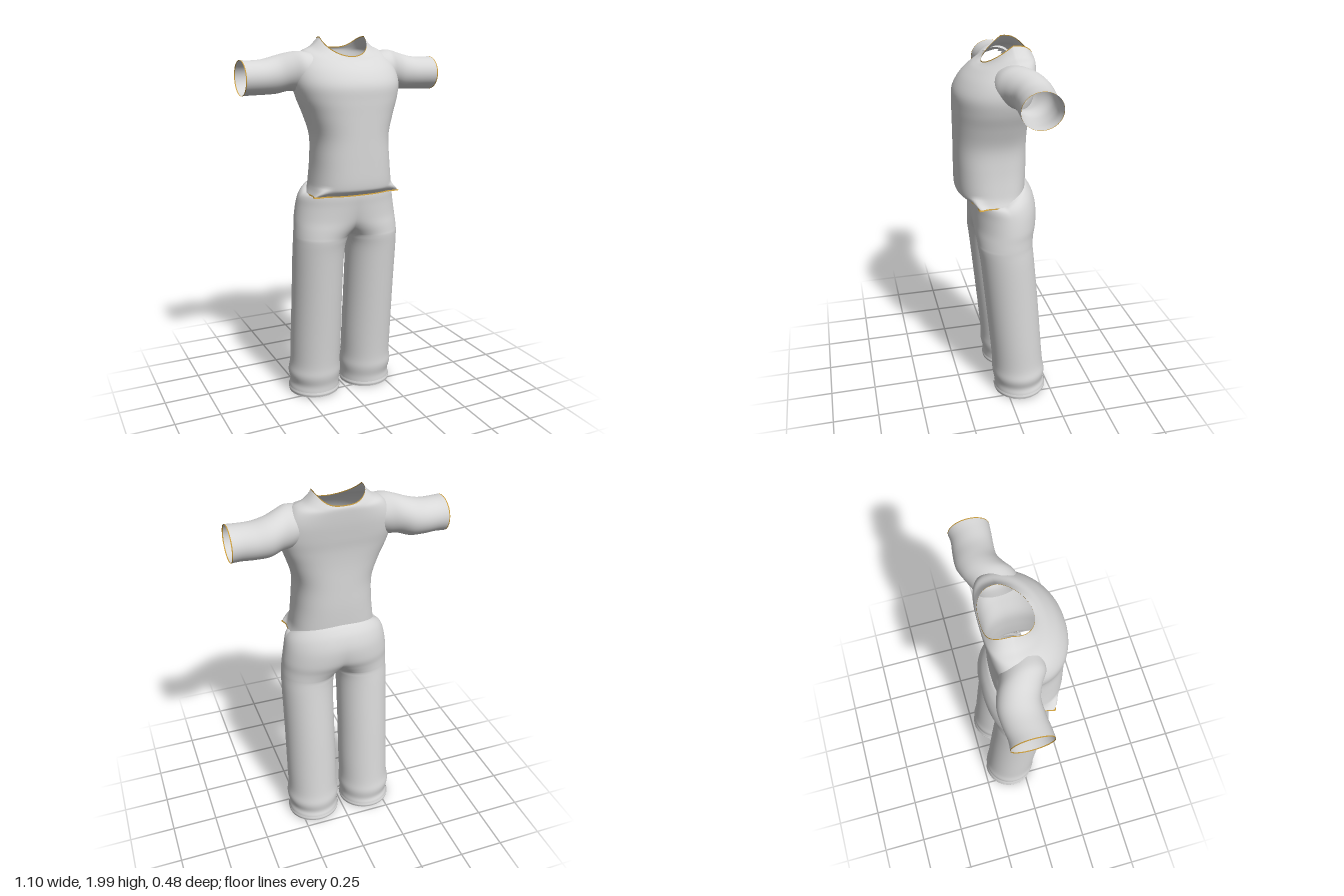
import * as THREE from 'three';
import { mergeGeometries, mergeVertices } from 'three/addons/utils/BufferGeometryUtils.js';

// Smoothly subdivide a short table of cross-section rows
function refine(rows, steps) {
  const out = [];
  for (let i = 0; i < rows.length - 1; i++) {
    const p = rows[Math.max(i - 1, 0)], a = rows[i], b = rows[i + 1], q = rows[Math.min(i + 2, rows.length - 1)];
    for (let s = 0; s < steps; s++) {
      const t = s / steps, t2 = t * t, t3 = t2 * t;
      out.push(a.map((v, k) =>
        v * (2 * t3 - 3 * t2 + 1) + b[k] * (3 * t2 - 2 * t3) +
        (b[k] - p[k]) / 2 * (t3 - 2 * t2 + t) + (q[k] - v) / 2 * (t3 - t2)));
    }
  }
  out.push(rows[rows.length - 1]);
  return out;
}

// Skin a surface over rows; point(row, u) gives a position, skip() leaves openings
function loft(rows, cols, point, flip = false, skip = () => false) {
  const pos = [], index = [], pts = [];
  for (const row of rows) {
    for (let j = 0; j <= cols; j++) {
      const p = point(row, j / cols);
      pts.push(p);
      pos.push(...p);
    }
  }
  for (let i = 0; i < rows.length - 1; i++) {
    for (let j = 0; j < cols; j++) {
      const a = i * (cols + 1) + j, b = a + 1, c = a + cols + 1, d = c + 1;
      if (skip(pts[a]) && skip(pts[b]) && skip(pts[c]) && skip(pts[d])) continue;
      if (flip) index.push(a, b, c, b, d, c);
      else index.push(a, c, b, b, c, d);
    }
  }
  const g = new THREE.BufferGeometry();
  g.setAttribute('position', new THREE.Float32BufferAttribute(pos, 3));
  g.setIndex(index);
  return g;
}

function smooth(geometries) {
  const g = mergeVertices(mergeGeometries(geometries), 1e-4);
  g.computeVertexNormals();
  return g;
}

const spow = (v, e) => Math.sign(v) * Math.pow(Math.abs(v), e);

export function createModel() {
  const cloth = new THREE.MeshStandardMaterial({ color: 0xd8d8d8, side: THREE.DoubleSide });
  cloth.name = 'light grey cloth';
  const gold = new THREE.MeshStandardMaterial({ color: 0xc89b3c, side: THREE.DoubleSide });
  gold.name = 'gold edging';
  const model = new THREE.Group();
  model.name = 'outfit';
  const add = (name, geometry, material = cloth) => {
    const m = new THREE.Mesh(geometry, material);
    m.name = name;
    model.add(m);
  };

  // Shirt body: half width, side y, side z, front z, front y, back z, back y, front and back squareness
  const body = refine([
    [0.236, 1.203, 0.04, 0.185, 1.203, -0.11, 1.203, 2.5, 2.5],
    [0.226, 1.23, 0.04, 0.225, 1.225, -0.12, 1.23, 2.5, 2.5],
    [0.219, 1.27, 0.04, 0.238, 1.26, -0.125, 1.27, 2.5, 2.5],
    [0.207, 1.38, 0.04, 0.24, 1.38, -0.13, 1.38, 2.5, 2.5],
    [0.205, 1.50, 0.03, 0.24, 1.50, -0.13, 1.50, 2.4, 2.5],
    [0.237, 1.61, 0.02, 0.24, 1.61, -0.13, 1.61, 2.3, 2.7],
    [0.270, 1.70, 0.01, 0.24, 1.69, -0.135, 1.70, 2.2, 3],
    [0.285, 1.78, 0, 0.236, 1.765, -0.145, 1.77, 2.1, 3.2],
    [0.270, 1.86, -0.02, 0.20, 1.83, -0.155, 1.845, 2, 3.2],
    [0.225, 1.925, -0.045, 0.15, 1.875, -0.16, 1.905, 2, 3],
    [0.170, 1.952, -0.045, 0.115, 1.893, -0.16, 1.93, 2, 3],
    [0.128, 1.995, -0.04, 0.09, 1.90, -0.155, 1.94, 2, 3],
  ], 5);
  const bodyPoint = ([rx, ys, zs, zf, yf, zb, yb, nf, nb], u) => {
    const a = (u % 1) * Math.PI * 2, c = Math.cos(a), s = Math.sin(a), e = 2 / (s > 0 ? nf : nb);
    let x = rx * spow(c, e);
    const y = ys + (s > 0 ? (yf - ys) * s : (yb - ys) * s * s);
    let z = zs + (s > 0 ? zf - zs : zs - zb) * spow(s, e);
    // pointed flaps at the front corners of the hem
    if (s > 0 && y < 1.25) {
      const corner = (Math.abs(c) - 0.82) / 0.1;
      const f = Math.exp(-corner * corner) * (1.25 - y) / 0.05;
      x += Math.sign(c) * 0.04 * f;
      z += 0.02 * f;
    }
    return [x, y, z];
  };
  const inArmhole = ([x, y, z]) =>
    Math.abs(x) > 0.2 && ((y - 1.83) / 0.08) ** 2 + ((z + 0.03) / 0.075) ** 2 < 1;
  add('shirtBody', smooth([loft(body, 96, bodyPoint, false, inArmhole)]));

  // Narrow edging along the shirt hem and neckline
  const edging = (row, dy, out) => [row, row.map((v, k) =>
    v + [out, dy, 0, out, dy, -out, dy, 0, 0][k])];
  add('hemEdging', smooth([loft(edging(body[0], -0.006, 0.002), 96, bodyPoint)]), gold);
  add('neckEdging', smooth([loft(edging(body[body.length - 1], 0.005, -0.001), 96, bodyPoint)]), gold);

  // Sleeves: x, centre y, half height, centre z, half depth
  const sleeve = refine([
    [0.20, 1.83, 0.094, -0.02, 0.103],
    [0.25, 1.828, 0.103, -0.033, 0.109],
    [0.30, 1.827, 0.097, -0.06, 0.104],
    [0.36, 1.812, 0.096, -0.08, 0.1],
    [0.43, 1.802, 0.089, -0.078, 0.099],
    [0.50, 1.80, 0.087, -0.07, 0.098],
    [0.544, 1.80, 0.089, -0.07, 0.101],
  ], 4);
  const cuff = sleeve[sleeve.length - 1];
  for (const side of [1, -1]) {
    const label = side > 0 ? 'left' : 'right';
    const point = ([x, cy, ry, cz, rz], u) => {
      const a = (u % 1) * Math.PI * 2;
      return [side * x, cy + ry * Math.cos(a), cz + rz * Math.sin(a)];
    };
    add(label + 'Sleeve', smooth([loft(sleeve, 40, point, side > 0)]));
    const end = [cuff, cuff.map((v, k) => k === 0 ? v + 0.005 : v)];
    add(label + 'SleeveEdging', smooth([loft(end, 40, point, side > 0)]), gold);
  }

  // Trousers: y, leg centre x, half width, centre z, half depth, rise at the back
  const trouserRows = [
    [0.008, 0.162, 0.146, -0.085, 0.147, 0.008],
    [0.04, 0.162, 0.144, -0.084, 0.145, 0.006],
    [0.075, 0.160, 0.141, -0.08, 0.142, 0],
    [0.13, 0.163, 0.150, -0.077, 0.150, 0],
    [0.20, 0.161, 0.143, -0.071, 0.145, 0],
    [0.35, 0.160, 0.143, -0.058, 0.144, 0],
    [0.60, 0.160, 0.141, -0.035, 0.145, 0],
    [0.85, 0.159, 0.142, -0.01, 0.145, 0],
    [0.94, 0.150, 0.149, 0.0, 0.147, 0],
    [0.97, 0.138, 0.160, 0.0, 0.149, 0],
    [1.01, 0.108, 0.187, -0.003, 0.156, 0],
    [1.06, 0.065, 0.226, -0.01, 0.167, 0.005],
    [1.13, 0.025, 0.255, -0.009, 0.174, 0.02],
    [1.175, 0.005, 0.264, 0.002, 0.169, 0.045],
    [1.197, 0, 0.252, 0.016, 0.155, 0.068],
    [1.207, 0, 0.226, 0.022, 0.142, 0.072],
  ];
  // Each half opens along the centre line above the crotch
  const halfPoint = side => ([y, cx, rx, cz, rz, rise], u) => {
    const open = rx > cx ? Math.acos(Math.max(cx, 0) / rx) : 0;
    const a = open + u * (2 * Math.PI - 2 * open), s = Math.sin(a);
    return [side * Math.max(0, cx - rx * Math.cos(a)), y + rise * Math.max(0, -s), cz + rz * s];
  };
  const rows = refine(trouserRows, 5);
  add('trousers', smooth([1, -1].map(side => loft(rows, 56, halfPoint(side), side > 0))));

  // Stitched bands round the trouser hems
  const band = [0.012, 0.022, 0.026, 0.036].map((y, i) =>
    [y, 0.162, i % 3 ? 0.149 : 0.146, -0.085, i % 3 ? 0.150 : 0.147, 0.006]);
  for (const side of [1, -1]) {
    add(side > 0 ? 'leftHem' : 'rightHem', smooth([loft(band, 56, halfPoint(side), side > 0)]));
  }
  return model;
}
